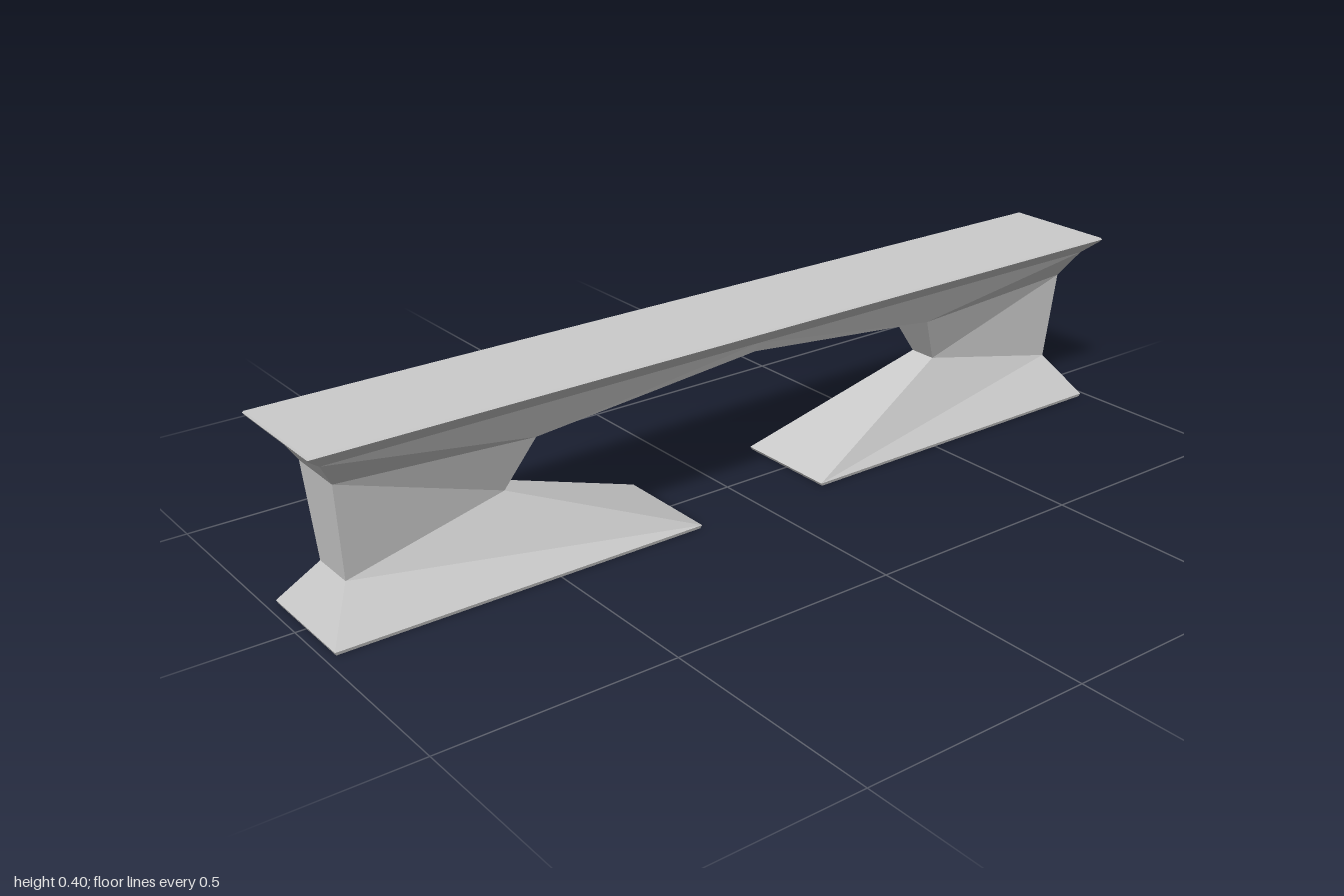
import * as THREE from 'three';

// Key corners of one quarter (+x, +z): [x, y, half depth]
const P = {
  topMid: [0, 0.396, 0.129], top: [0.998, 0.396, 0.129],
  lipMid: [0, 0.392, 0.132], lip: [1, 0.392, 0.132],
  lipLowMid: [0, 0.387, 0.128], lipLow: [0.997, 0.387, 0.128],
  foldMid: [0, 0.36, 0.1], fold: [0.965, 0.36, 0.1],
  shoulder: [0.93, 0.303, 0.066], haunch: [0.51, 0.28, 0.066], crown: [0, 0.34, 0.092],
  ankle: [0.915, 0.1, 0.051], crook: [0.565, 0.171, 0.032],
  heel: [0.98, 0.007, 0.122], toe: [0.16, 0.007, 0.122],
  heelBase: [0.977, 0, 0.12], toeBase: [0.164, 0, 0.12],
};

// sides: faces seen from the front, counter-clockwise
// rims: clockwise outline edges, spanned across the depth to z = 0
function buildPart(name, sides, rims, material) {
  const quarter = sides.map(f => f.map(k => P[k]));
  for (const [a, b] of rims) {
    const flat = k => [P[k][0], P[k][1], 0];
    quarter.push([P[a], P[b], flat(b), flat(a)]);
  }
  const pos = [];
  for (const sx of [1, -1]) for (const sz of [1, -1]) {
    for (const face of quarter) {
      for (let i = 1; i < face.length - 1; i++) {
        const tri = [face[0], face[i], face[i + 1]];
        if (sx * sz < 0) tri.reverse(); // mirrored copies keep facing outwards
        for (const [x, y, z] of tri) pos.push(x * sx, y, z * sz);
      }
    }
  }
  const geo = new THREE.BufferGeometry();
  geo.setAttribute('position', new THREE.Float32BufferAttribute(pos, 3));
  geo.computeVertexNormals();
  const mesh = new THREE.Mesh(geo, material);
  mesh.name = name;
  return mesh;
}

export function createModel() {
  const group = new THREE.Group();
  group.name = 'bench';
  const mat = new THREE.MeshStandardMaterial({ color: 0xcccccc, flatShading: true });

  // Flat top with a thin lip and a flare beneath it
  group.add(buildPart('seatTop', [
    ['topMid', 'lipMid', 'lip', 'top'],
    ['lipMid', 'lipLowMid', 'lipLow', 'lip'],
    ['lipLowMid', 'foldMid', 'fold', 'lipLow'],
  ], [['topMid', 'top'], ['top', 'lip'], ['lip', 'lipLow'], ['lipLow', 'fold']], mat));

  // Tapered beam, arched underneath
  group.add(buildPart('archedBeam', [
    ['haunch', 'shoulder', 'fold', 'foldMid', 'crown'],
  ], [['fold', 'shoulder'], ['haunch', 'crown']], mat));

  // Narrow supports that pinch in towards the feet
  group.add(buildPart('supports', [
    ['crook', 'ankle', 'shoulder', 'haunch'],
  ], [['shoulder', 'ankle'], ['crook', 'haunch']], mat));

  // Long wedge feet spreading to the ground
  group.add(buildPart('feet', [
    ['ankle', 'crook', 'toe', 'heel'],
    ['toe', 'toeBase', 'heelBase', 'heel'],
  ], [['ankle', 'heel'], ['heel', 'heelBase'], ['heelBase', 'toeBase'],
    ['toeBase', 'toe'], ['toe', 'crook']], mat));

  return group;
}
